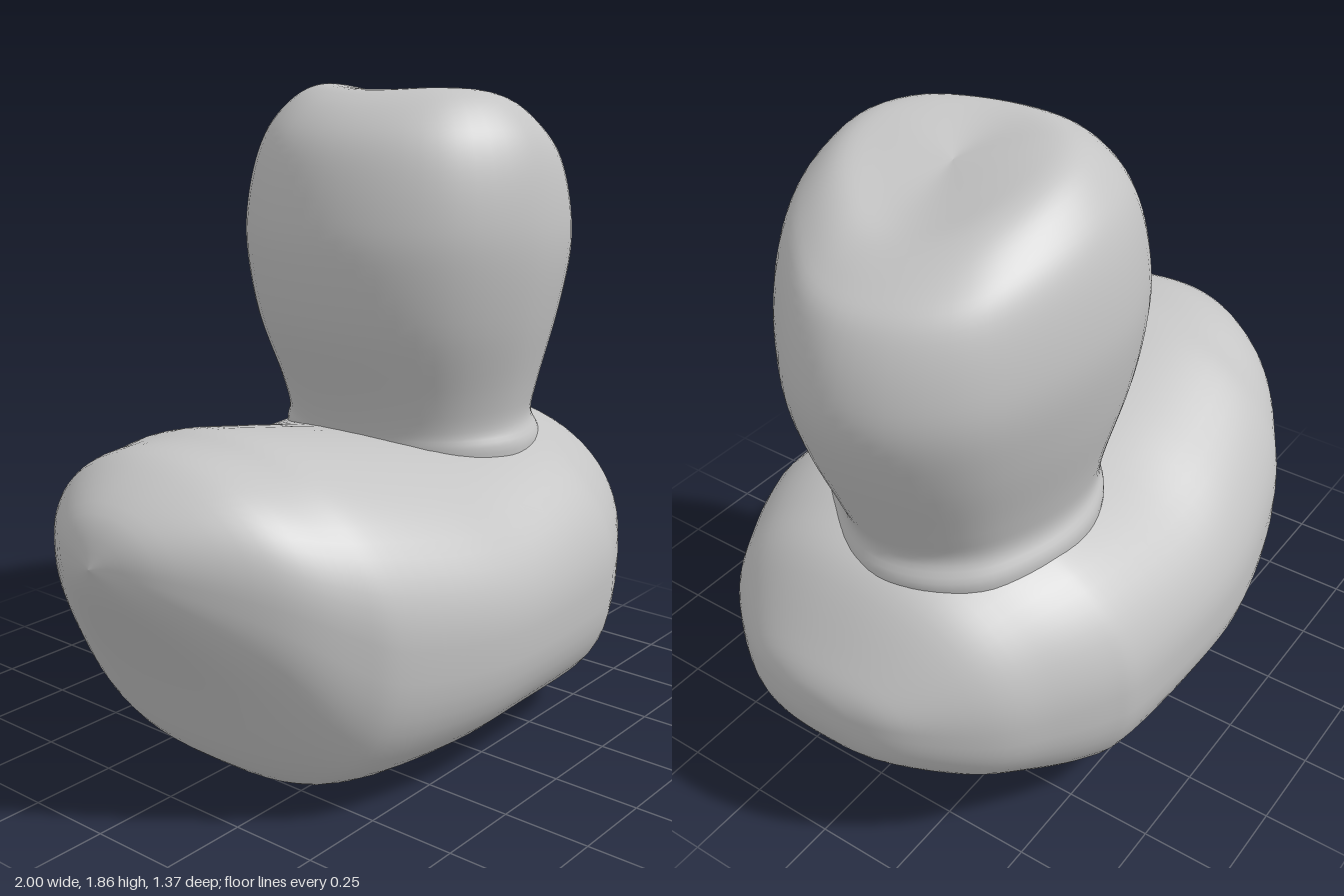
import * as THREE from 'three';

// Catmull-Rom interpolation between rows of section parameters
function resample(rows, steps) {
  const out = [], last = rows.length - 1;
  const row = i => rows[Math.max(0, Math.min(last, i))];
  for (let i = 0; i < last; i++) {
    for (let s = 0; s < steps; s++) {
      const t = s / steps, t2 = t * t, t3 = t2 * t;
      out.push(rows[i].map((_, k) => {
        const a = row(i - 1)[k], b = row(i)[k], c = row(i + 1)[k], d = row(i + 2)[k];
        return 0.5 * (2 * b + (c - a) * t + (2 * a - 5 * b + 4 * c - d) * t2 + (3 * b - a - 3 * c + d) * t3);
      }));
    }
  }
  out.push(rows[last]);
  return out;
}

// Smooth skin over closed rings; point(row, u) gives the position, u in 0..1
function loft(rows, sides, point) {
  const positions = [], index = [];
  rows.forEach((r, i) => {
    for (let j = 0; j < sides; j++) {
      positions.push(...point(r, j / sides));
      if (i < rows.length - 1) {
        const a = i * sides + j, b = i * sides + (j + 1) % sides;
        index.push(a, a + sides, b, b, a + sides, b + sides);
      }
    }
  });
  const g = new THREE.BufferGeometry();
  g.setAttribute('position', new THREE.Float32BufferAttribute(positions, 3));
  g.setIndex(index);
  g.computeVertexNormals();
  return g;
}

const spow = (v, p) => Math.sign(v) * Math.pow(Math.abs(v), p);

// Body sections along x: x, bottom, widest height, top, half width
const bodyRows = [
  [-1.0, 0.73, 0.73, 0.73, 0.0],
  [-0.94, 0.61, 0.73, 0.855, 0.18],
  [-0.77, 0.36, 0.66, 0.955, 0.41],
  [-0.6, 0.08, 0.56, 0.967, 0.54],
  [-0.47, 0.01, 0.5, 0.97, 0.605],
  [-0.2, 0.012, 0.46, 0.92, 0.67],
  [0.05, 0.03, 0.45, 0.88, 0.685],
  [0.38, 0.015, 0.45, 0.91, 0.66],
  [0.5, 0.04, 0.46, 0.91, 0.625],
  [0.65, 0.12, 0.47, 0.88, 0.55],
  [0.8, 0.21, 0.48, 0.81, 0.45],
  [0.94, 0.32, 0.5, 0.64, 0.27],
  [0.99, 0.42, 0.5, 0.56, 0.12],
  [1.0, 0.5, 0.5, 0.5, 0.0],
];

function bodyPoint([x, bottom, mid, top, half], u) {
  const a = u * Math.PI * 2, c = Math.cos(a), s = Math.sin(a);
  const p = c > 0 ? 0.95 : 0.74;
  const z = -half * spow(s, p);
  let y = mid + (c > 0 ? top - mid : mid - bottom) * spow(c, p);
  // shallow dent under the belly
  if (c < 0) y += 0.1 * Math.exp(-(x * x + z * z) / 0.05) * -c;
  return [x, y, z];
}

// Plan outline of the head, flattened on one front corner (x, z)
const outline = new THREE.CatmullRomCurve3([
  [0.94, -0.08], [0.9, 0.06], [0.78, 0.21], [0.6, 0.37], [0.42, 0.455], [0.22, 0.47],
  [0, 0.38], [-0.14, 0.21], [-0.2, 0], [-0.16, -0.2], [0, -0.39], [0.18, -0.47],
  [0.37, -0.49], [0.6, -0.45], [0.78, -0.37], [0.9, -0.23],
].map(([x, z]) => new THREE.Vector3(x, 0, z)), true);

// Head sections upward: min x, max x, half depth, y at min x, y at max x, side lift
const headRows = [
  [-0.02, 0.74, 0.39, 0.7, 0.7, 0],
  [-0.035, 0.78, 0.41, 0.84, 0.82, 0],
  [-0.045, 0.76, 0.385, 0.9, 0.9, 0],
  [-0.08, 0.8, 0.4, 1.0, 1.0, 0],
  [-0.165, 0.89, 0.45, 1.2, 1.2, 0],
  [-0.2, 0.94, 0.48, 1.4, 1.37, 0],
  [-0.19, 0.925, 0.478, 1.54, 1.51, 0],
  [-0.15, 0.87, 0.45, 1.68, 1.63, 0.01],
  [-0.09, 0.79, 0.4, 1.77, 1.69, 0.03],
  [0.0, 0.68, 0.31, 1.835, 1.735, 0.05],
  [0.1, 0.54, 0.19, 1.855, 1.755, 0.035],
  [0.32, 0.32, 0, 1.805, 1.805, 0],
];

function headPoint([x0, x1, half, yL, yR, lift], u) {
  const p = outline.getPoint(u);
  const fx = (p.x + 0.2) / 1.14, fz = p.z / 0.48;
  return [x0 + (x1 - x0) * fx, yL + (yR - yL) * fx + lift * fz * fz, half * fz];
}

export function createModel() {
  const group = new THREE.Group();
  const grey = new THREE.MeshStandardMaterial({ color: 0xc4c4c4 });
  grey.name = 'plain grey';

  const body = new THREE.Mesh(loft(resample(bodyRows, 5), 64, bodyPoint), grey);
  body.name = 'body';
  const head = new THREE.Mesh(loft(resample(headRows, 5), 64, headPoint), grey);
  head.name = 'head';

  group.add(body, head);
  return group;
}
